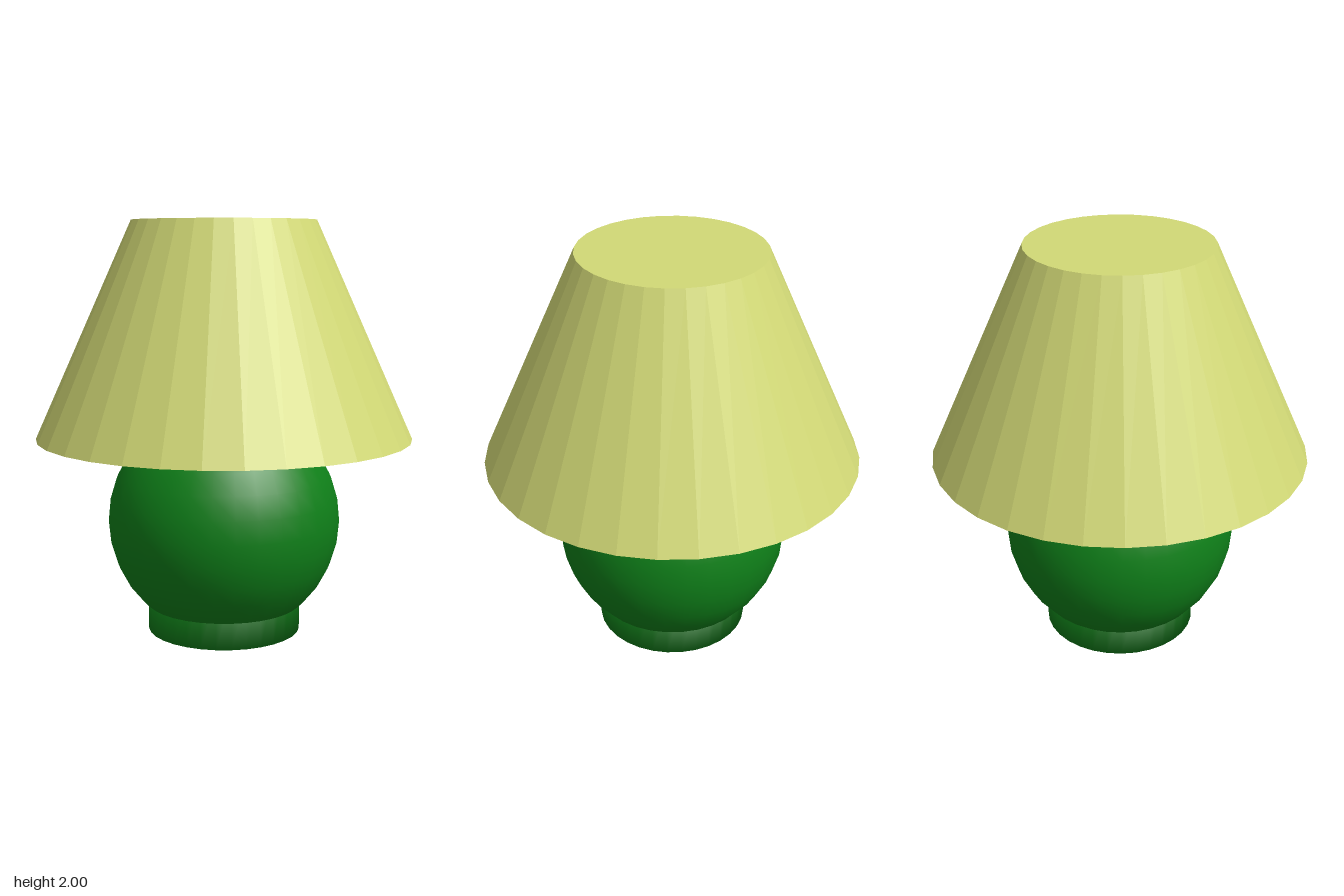
import * as THREE from 'three';

const SIDES = 32;

// Closed cylinder whose normals roll softly over the rims.
function softCylinder(radius, height) {
  const geo = new THREE.CylinderGeometry(radius, radius, height, SIDES);
  const pos = geo.attributes.position;
  const n = new THREE.Vector3();
  for (let i = 0; i < pos.count; i++) {
    n.set(pos.getX(i) / radius, Math.sign(pos.getY(i)), pos.getZ(i) / radius).normalize();
    geo.attributes.normal.setXYZ(i, n.x, n.y, n.z);
  }
  return geo;
}

export function createModel() {
  const lamp = new THREE.Group();
  lamp.name = 'tableLamp';

  const green = new THREE.MeshStandardMaterial({ color: 0x0f8019 });
  const cream = new THREE.MeshStandardMaterial({ color: 0xd2d976, flatShading: true });

  const add = (name, geometry, material, y) => {
    const mesh = new THREE.Mesh(geometry, material);
    mesh.name = name;
    mesh.position.y = y;
    lamp.add(mesh);
  };

  // Foot ring, sunk into the round body
  add('foot', softCylinder(0.37, 0.28), green, 0.02 + 0.14);

  // Round body, its top hidden inside the shade
  add('body', new THREE.SphereGeometry(0.56, SIDES, SIDES / 2), green, 0.565);

  // Closed, faceted conical shade
  add('shade', new THREE.CylinderGeometry(0.437, 0.9, 1.03, SIDES), cream, 0.97 + 1.03 / 2);

  return lamp;
}
